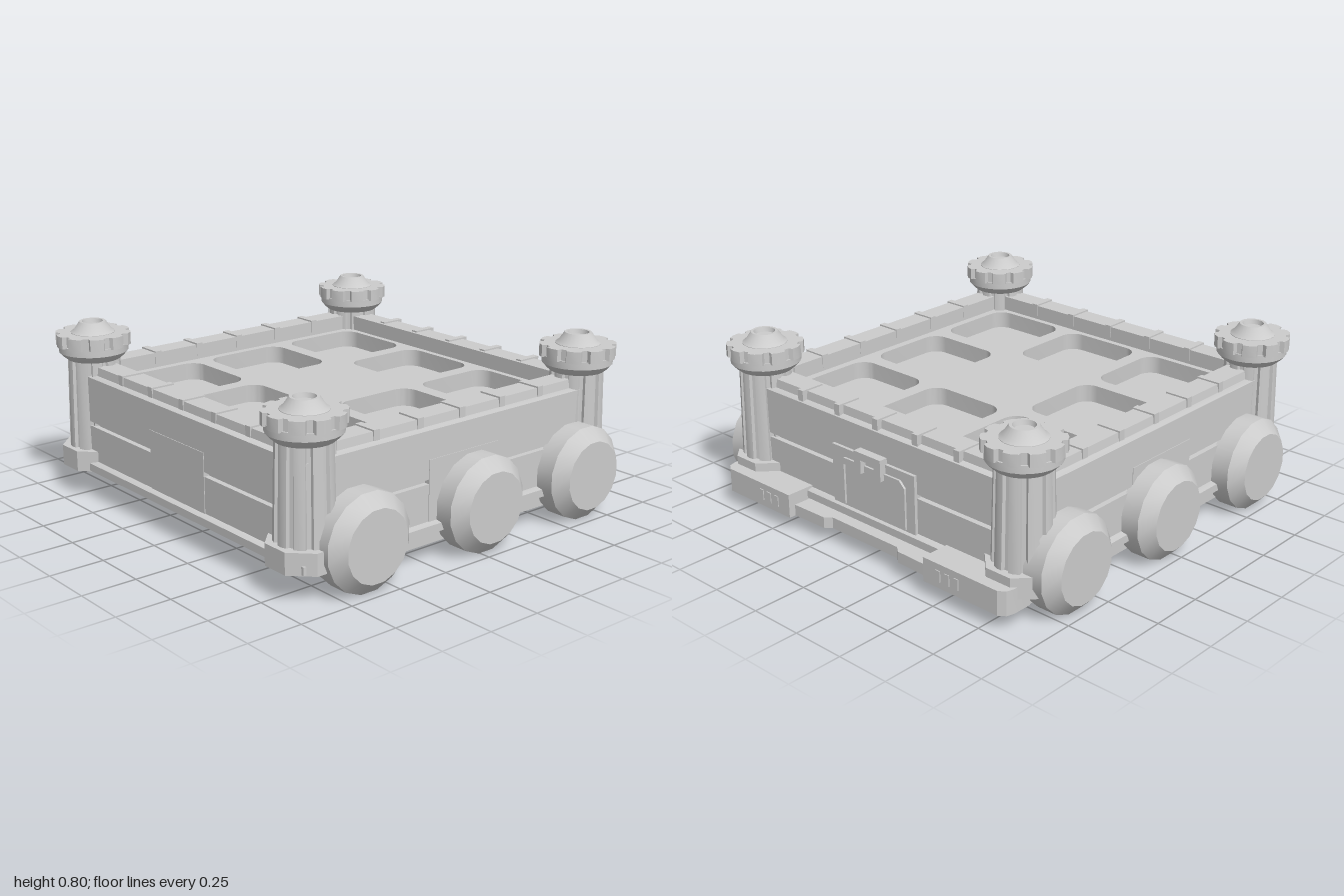
import * as THREE from 'three';
import { toCreasedNormals } from 'three/addons/utils/BufferGeometryUtils.js';

const mat = new THREE.MeshStandardMaterial({ color: 0xcccccc });
const ZC = 0.02; // hull centre along z

function add(parent, name, geo, x = 0, y = 0, z = 0) {
  const m = new THREE.Mesh(toCreasedNormals(geo, 0.6), mat);
  m.name = name;
  m.position.set(x, y, z);
  parent.add(m);
  return m;
}
const box = (parent, name, w, h, d, x, y, z) => add(parent, name, new THREE.BoxGeometry(w, h, d), x, y, z);

const lathe = (pts, seg, start = 0) =>
  new THREE.LatheGeometry(pts.map(p => new THREE.Vector2(p[0], p[1])), seg, start);

const polygon = pts => new THREE.Shape(pts.map(p => new THREE.Vector2(p[0], p[1])));

// Plan outline (x, z) extruded between two heights
function slab(shape, bottom, top) {
  return new THREE.ExtrudeGeometry(shape, { depth: top - bottom, bevelEnabled: false, curveSegments: 6 })
    .rotateX(Math.PI / 2).translate(0, top, 0);
}

// Toothed plan outline
function gear(teeth, rIn, rOut) {
  const pts = [], step = Math.PI * 2 / teeth;
  for (let i = 0; i < teeth; i++) {
    for (const [f, r] of [[-0.3, rOut], [0, rOut * 1.02], [0.3, rOut], [0.38, rIn], [0.62, rIn]]) {
      const a = (i + f) * step;
      pts.push([Math.cos(a) * r, Math.sin(a) * r]);
    }
  }
  return polygon(pts);
}

function roundedHole(cx, cz, h, r) {
  const p = new THREE.Path(), q = Math.PI / 2;
  p.absarc(cx + h - r, cz + h - r, r, 0, q);
  p.absarc(cx - h + r, cz + h - r, r, q, 2 * q);
  p.absarc(cx - h + r, cz - h + r, r, 2 * q, 3 * q);
  p.absarc(cx + h - r, cz - h + r, r, 3 * q, 4 * q);
  p.closePath();
  return p;
}

// Fluted column that widens toward its foot
function flutedColumn() {
  const geo = slab(gear(10, 0.106, 0.119), 0.2, 0.64), p = geo.attributes.position;
  for (let i = 0; i < p.count; i++) {
    const k = 1 + 0.2 * (0.64 - p.getY(i));
    p.setXYZ(i, p.getX(i) * k, p.getY(i), p.getZ(i) * k);
  }
  return geo;
}

function cornerPost() {
  const g = new THREE.Group();
  g.name = 'cornerPost';
  add(g, 'postBase', new THREE.CylinderGeometry(0.165, 0.165, 0.095, 8, 1, false, Math.PI / 8), 0, 0.1725, 0);
  add(g, 'flutedColumn', flutedColumn());
  add(g, 'capFlange', lathe([[0, 0.63], [0.122, 0.63], [0.14, 0.645], [0.158, 0.665], [0.158, 0.7], [0, 0.7]], 24));
  add(g, 'capGear', slab(gear(10, 0.15, 0.169), 0.695, 0.75));
  add(g, 'capKnob', lathe([[0.1, 0.74], [0.1, 0.752], [0.085, 0.763], [0.06, 0.8], [0.048, 0.8], [0.042, 0.78], [0, 0.78]], 24));
  return g;
}

export function createModel() {
  const root = new THREE.Group();
  root.name = 'wheeledPlatform';

  // Square hull: flat floor, ledge, wall with groove, and raised rim
  const profile = [[0, 0.13], [0.89, 0.13], [0.89, 0.165], [0.86, 0.172], [0.86, 0.335], [0.835, 0.335], [0.835, 0.355],
    [0.86, 0.355], [0.86, 0.565], [0.83, 0.572], [0.825, 0.61], [0.72, 0.61], [0.72, 0.45]];
  const hull = add(root, 'hull', lathe(profile.map(([r, y]) => [r * Math.SQRT2, y]), 4, Math.PI / 4), 0, 0, ZC);
  hull.scale.z = 0.85 / 0.86;

  // Side skirts below the hull that carry the wheels
  for (const s of [-1, 1]) {
    const section = polygon([[s * 0.705, 0.07], [s * 0.855, 0.07], [s * 0.855, 0.135], [s * 0.72, 0.135]]);
    add(root, 'sideSkirt', new THREE.ExtrudeGeometry(section, { depth: 1.6, bevelEnabled: false }), 0, 0, -0.83);
  }

  // Deck with eight rounded pockets around a solid centre
  const deck = polygon([[-0.73, -0.71], [0.73, -0.71], [0.73, 0.75], [-0.73, 0.75]]);
  for (const i of [-1, 0, 1]) for (const j of [-1, 0, 1]) {
    if (i || j) deck.holes.push(roundedHole(i * 0.478, ZC + j * 0.478, 0.205, 0.07));
  }
  add(root, 'deck', slab(deck, 0.45, 0.54));
  box(root, 'pocketFloor', 1.46, 0.02, 1.46, 0, 0.45, ZC);

  // Ribs clipped over the rim
  for (let i = -2; i <= 2; i++) for (const s of [-1, 1]) {
    box(root, 'rimRib', 0.032, 0.06, 0.115, i * 0.235, 0.587, ZC - 0.01 + s * 0.775);
    box(root, 'rimRib', 0.115, 0.06, 0.032, s * 0.775, 0.587, ZC - 0.01 + i * 0.235);
  }

  // Plain panels on the front and sides
  box(root, 'frontPanel', 0.4, 0.27, 0.04, 0, 0.305, 0.853);
  for (const s of [-1, 1]) box(root, 'sidePanel', 0.04, 0.27, 0.4, s * 0.843, 0.305, ZC);

  // Rear door with raised arch and latch
  box(root, 'rearPanel', 0.5, 0.27, 0.04, 0, 0.305, -0.825);
  const arch = polygon([[-0.2, 0.18], [-0.2, 0.37], [-0.17, 0.4], [0.17, 0.4], [0.2, 0.37], [0.2, 0.18],
    [0.17, 0.18], [0.17, 0.37], [-0.17, 0.37], [-0.17, 0.18]]);
  add(root, 'rearArch', new THREE.ExtrudeGeometry(arch, { depth: 0.02, bevelEnabled: false }), 0, 0, -0.855);
  box(root, 'latchBar', 0.16, 0.035, 0.04, 0, 0.45, -0.855);
  for (const s of [-1, 1]) box(root, 'latchLeg', 0.04, 0.08, 0.04, s * 0.06, 0.41, -0.855);

  // Rear bumper: low centre, taller ends with small studs
  add(root, 'bumperCentre', slab(polygon([[-0.45, -0.82], [-0.45, -0.935], [-0.23, -0.93], [-0.2, -0.905],
    [0.2, -0.905], [0.23, -0.93], [0.45, -0.935], [0.45, -0.82]]), 0.07, 0.122));
  for (const s of [-1, 1]) {
    add(root, 'bumperEnd', slab(polygon([[s * 0.415, -0.82], [s * 0.415, -0.967], [s * 0.82, -0.967],
      [s * 0.85, -0.945], [s * 0.86, -0.91], [s * 0.86, -0.82]]), 0.07, 0.18));
    for (const x of [0.5, 0.55, 0.6]) box(root, 'bumperStud', 0.025, 0.05, 0.01, s * x, 0.125, -0.966);
  }

  // Corner posts, each turned a little differently
  for (const [x, z, turn] of [[-0.775, -0.762, 0.1], [0.775, -0.757, 0.3], [-0.782, 0.788, 0.2], [0.768, 0.792, 0.4]]) {
    const post = cornerPost();
    post.position.set(x, 0, z);
    for (const part of post.children.slice(1)) part.rotation.y = turn;
    root.add(post);
  }

  // Three bevelled wheels on each side
  const wheel = lathe([[0, 0.83], [0.214, 0.85], [0.214, 0.945], [0.157, 1], [0, 1]], 16, Math.PI / 16);
  for (const s of [-1, 1]) for (const z of [0.615, -0.035, -0.642]) {
    add(root, 'wheel', wheel, 0, 0.21, z).rotation.z = -s * Math.PI / 2;
  }
  return root;
}
